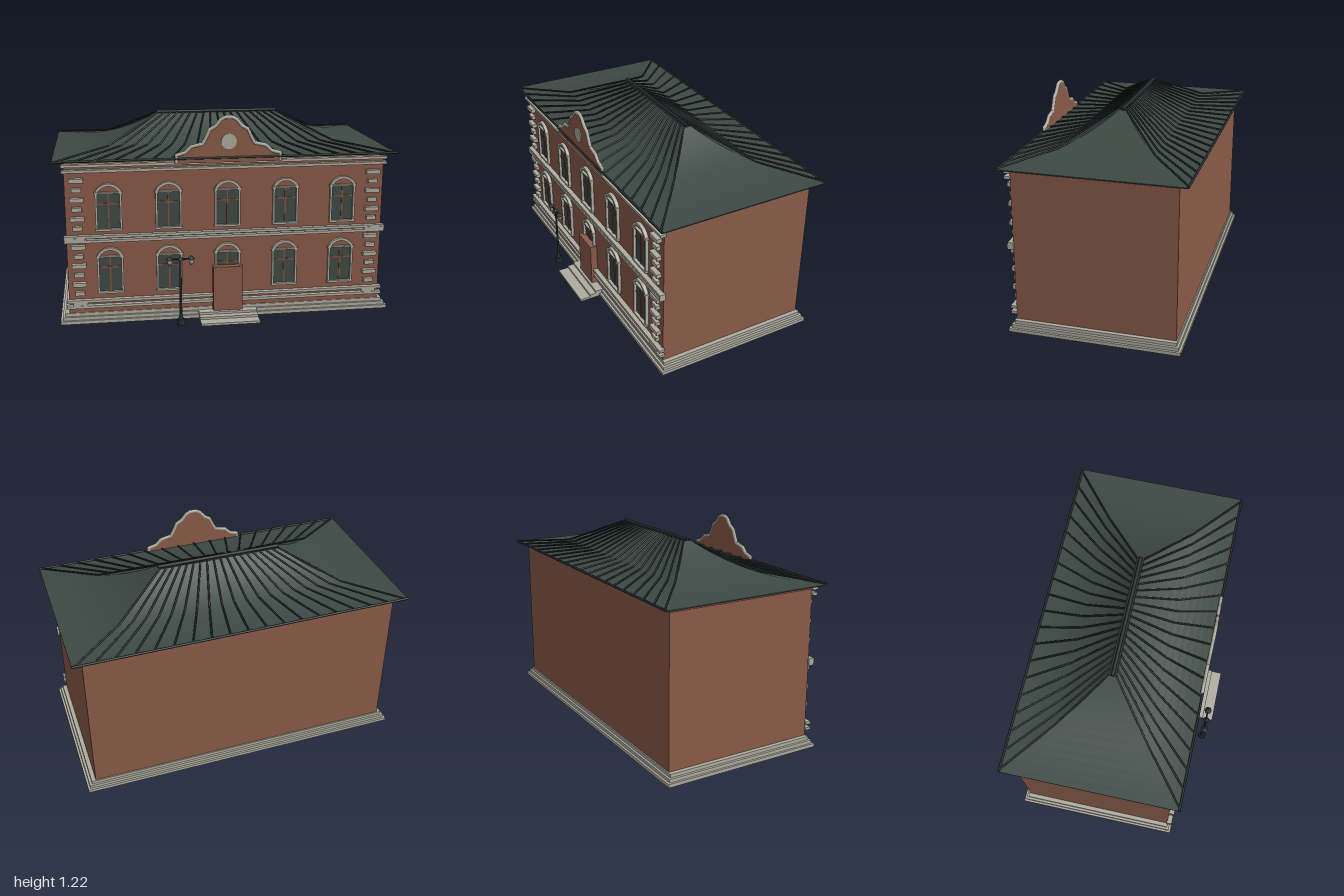
import * as THREE from 'three';

const mat = (name, color, side = THREE.FrontSide) => {
  const m = new THREE.MeshStandardMaterial({ color, side });
  m.name = name;
  return m;
};

export function createModel() {
  const brick = mat('brick', 0x8b5c49);
  const stone = mat('stone', 0xafada1);
  const roofMat = mat('roofMetal', 0x3d4944, THREE.DoubleSide);
  const glass = mat('glass', 0x404a46);
  const timber = mat('windowTimber', 0x8a4f38);
  const iron = mat('darkIron', 0x252d2d);

  const model = new THREE.Group();
  model.name = 'townHouse';
  const group = (name, parent = model) => {
    const g = new THREE.Group();
    g.name = name;
    parent.add(g);
    return g;
  };
  const add = (parent, name, geo, material) => {
    const m = new THREE.Mesh(geo, material);
    m.name = name;
    parent.add(m);
    return m;
  };
  // Box given by its limits on each axis
  const box = (parent, name, material, x0, x1, y0, y1, z0, z1) => {
    const m = add(parent, name, new THREE.BoxGeometry(x1 - x0, y1 - y0, z1 - z0), material);
    m.position.set((x0 + x1) / 2, (y0 + y1) / 2, (z0 + z1) / 2);
    return m;
  };
  // Round bar between two points
  const bar = (parent, name, material, a, b, r, sides = 6) => {
    const d = b.clone().sub(a);
    const m = add(parent, name, new THREE.CylinderGeometry(r, r, d.length(), sides), material);
    m.position.copy(a).add(b).multiplyScalar(0.5);
    m.quaternion.setFromUnitVectors(new THREE.Vector3(0, 1, 0), d.normalize());
    return m;
  };
  const V = (x, y, z) => new THREE.Vector3(x, y, z);
  const WALL = 0.414;

  // Walls and stepped plinth
  box(model, 'walls', brick, -0.937, 0.937, 0.05, 0.945, -0.512, WALL);
  const plinth = group('plinth');
  [0.99, 0.977, 0.962].forEach((w, i) =>
    box(plinth, 'plinthStep', stone, -w, w, i * 0.02, i * 0.02 + 0.02, -0.545 + i * 0.013, 0.445 - i * 0.013));

  // Entrance steps and door
  const steps = group('entranceSteps');
  [0.575, 0.51, 0.47].forEach((z, i) =>
    box(steps, 'entranceStep', stone, -0.175, 0.175, i * 0.014, i * 0.014 + 0.014, 0.42, z));
  box(model, 'door', brick, -0.088, 0.088, 0.045, 0.318, WALL - 0.01, 0.456);

  // Horizontal bands across the front
  const bands = group('facadeBands');
  for (const y of [0.095, 0.13, 0.495, 0.521, 0.908, 0.94])
    box(bands, 'band', stone, -0.95, 0.95, y, y + 0.016, WALL - 0.005, 0.443);

  // Corner quoins, alternating wide and narrow
  const quoins = group('quoins');
  for (const s of [-1, 1]) {
    for (const top of [0.862, 0.467])
      for (let i = 0; i < 6; i++) {
        const w = i % 2 ? 0.028 : 0.041, y = top - i * 0.0565;
        box(quoins, 'quoin', stone, s * 0.87 - w, s * 0.87 + w, y - 0.012, y + 0.012, WALL - 0.005, i % 2 ? 0.437 : 0.443);
      }
    box(quoins, 'quoin', stone, s * 0.89 - 0.06, s * 0.89 + 0.06, 0.505, 0.526, WALL - 0.005, 0.445);
    box(quoins, 'quoin', stone, s * 0.87 - 0.041, s * 0.87 + 0.041, 0.108, 0.132, WALL - 0.005, 0.441);
  }

  // Arched window surround
  const R = 0.0843, half = 1.14;
  const archShape = new THREE.Shape();
  archShape.absarc(0, -0.0343, R, Math.PI / 2 - half, Math.PI / 2 + half, false);
  archShape.absarc(0, -0.0343, R - 0.016, Math.PI / 2 + half, Math.PI / 2 - half, true);
  const archGeo = new THREE.ExtrudeGeometry(archShape, { depth: 0.024, bevelEnabled: false, curveSegments: 14 });

  const windowAt = (x, sill, bottom) => {
    const w = group('window'), top = sill + 0.215;
    box(w, 'pane', glass, x - 0.066, x + 0.066, bottom, top, WALL - 0.004, WALL + 0.003);
    box(w, 'mullion', timber, x - 0.004, x + 0.004, bottom, top, WALL, WALL + 0.007);
    box(w, 'transom', timber, x - 0.066, x + 0.066, sill + 0.147, sill + 0.155, WALL, WALL + 0.007);
    for (const s of [-1, 1]) {
      box(w, 'jamb', stone, x + s * 0.07 - 0.006, x + s * 0.07 + 0.006, bottom, top, WALL - 0.004, 0.432);
      box(w, 'capital', stone, x + s * 0.07 - 0.011, x + s * 0.07 + 0.011, top - 0.005, top + 0.008, WALL - 0.004, 0.437);
    }
    box(w, 'head', stone, x - 0.076, x + 0.076, top - 0.003, top + 0.006, WALL - 0.004, 0.429);
    if (bottom === sill) box(w, 'sill', stone, x - 0.078, x + 0.078, sill - 0.008, sill + 0.004, WALL - 0.004, 0.436);
    add(w, 'arch', archGeo, stone).position.set(x, top + 0.007, WALL - 0.003);
  };
  for (const x of [-0.69, -0.345, 0, 0.345, 0.69]) {
    windowAt(x, 0.568, 0.568);
    windowAt(x, 0.187, x === 0 ? 0.31 : 0.187);
  }

  // Flared hipped roof: rectangular rings shrinking to the ridge
  const roof = group('roof');
  const ZC = -0.053, N = 12;
  const ring = t => ({
    x: THREE.MathUtils.lerp(1, 0.375, t),
    z: THREE.MathUtils.lerp(0.515, 0.022, t),
    y: 0.977 + 0.19 * Math.pow(t, 2.3),
  });
  const corners = [[-1, 1], [1, 1], [1, -1], [-1, -1]];
  corners.forEach((c, k) => {
    const d = corners[(k + 1) % 4], pos = [], idx = [];
    for (let i = 0; i <= N; i++) {
      const r = ring(i / N);
      pos.push(c[0] * r.x, r.y, ZC + c[1] * r.z, d[0] * r.x, r.y, ZC + d[1] * r.z);
      if (i < N) {
        const a = i * 2;
        idx.push(a, a + 1, a + 3, a, a + 3, a + 2);
      }
    }
    const g = new THREE.BufferGeometry();
    g.setAttribute('position', new THREE.Float32BufferAttribute(pos, 3));
    g.setIndex(idx);
    g.computeVertexNormals();
    add(roof, 'roofSlope', g, roofMat);
  });
  box(roof, 'soffit', roofMat, -1, 1, 0.971, 0.977, ZC - 0.515, ZC + 0.515);

  // Standing seams, fanning from ridge to eaves
  const seams = group('roofSeams', roof);
  for (const s of [-1, 1]) {
    for (let i = 0; i < 19; i++) {
      const u = (i / 9 - 1) * 0.985;
      const p = [0, 0.5, 1].map(t => {
        const r = ring(t);
        return V(u * r.x, r.y + 0.003, ZC + s * r.z);
      });
      bar(seams, 'seam', iron, p[0], p[1], 0.0055);
      bar(seams, 'seam', iron, p[1], p[2], 0.0055);
    }
    bar(roof, 'eaveRail', iron, V(-1, 0.979, ZC + s * 0.515), V(1, 0.979, ZC + s * 0.515), 0.007, 8);
  }
  box(roof, 'ridgeCap', iron, -0.375, 0.375, 1.158, 1.168, ZC - 0.022, ZC + 0.022);
  bar(roof, 'ridgeRail', iron, V(-0.375, 1.173, ZC), V(0.375, 1.173, ZC), 0.01, 10);

  // Scalloped front gable with stone coping and medallion
  const gable = group('gable');
  const side = [[0.3, 0.952], [0.3, 0.998], [0.25, 1.012], [0.215, 1.045], [0.15, 1.06],
    [0.135, 1.085], [0.11, 1.14], [0.075, 1.16], [0.045, 1.197], [0.018, 1.21]];
  const outline = [...side, ...side.map(([x, y]) => [-x, y]).reverse()].map(p => new THREE.Vector2(...p));
  const slab = add(gable, 'gableWall', new THREE.ExtrudeGeometry(new THREE.Shape(outline), { depth: 0.016, bevelEnabled: false }), brick);
  slab.position.z = 0.448;
  for (let i = 0; i < outline.length - 1; i++) {
    const a = outline[i], b = outline[i + 1];
    bar(gable, 'coping', stone, V(a.x, a.y, 0.457), V(b.x, b.y, 0.457), 0.011, 8);
    if (i) add(gable, 'copingJoint', new THREE.SphereGeometry(0.011, 8, 6), stone).position.set(a.x, a.y, 0.457);
  }
  bar(gable, 'medallion', stone, V(0, 1.073, 0.458), V(0, 1.073, 0.47), 0.045, 28);

  // Street lamp with two hanging lanterns
  const lamp = group('streetLamp');
  lamp.position.set(-0.29, 0, 0.525);
  const turned = (name, material, r1, r0, y0, y1, x = 0, n = 8) =>
    add(lamp, name, new THREE.CylinderGeometry(r1, r0, y1 - y0, n), material).position.set(x, (y0 + y1) / 2, 0);
  turned('lampBase', iron, 0.024, 0.026, 0, 0.034);
  turned('lampCollar', iron, 0.009, 0.015, 0.034, 0.06);
  turned('lampPole', iron, 0.006, 0.008, 0.05, 0.405);
  turned('lampFinial', iron, 0.004, 0.02, 0.397, 0.415);
  bar(lamp, 'lampArm', iron, V(-0.065, 0.402, 0), V(0.065, 0.402, 0), 0.005);
  for (const x of [-0.063, 0.063]) {
    turned('lantern', stone, 0.018, 0.013, 0.376, 0.401, x, 6);
    turned('lanternBase', iron, 0.014, 0.01, 0.37, 0.376, x, 6);
    turned('lanternCap', iron, 0.003, 0.025, 0.401, 0.42, x, 6);
  }
  return model;
}
